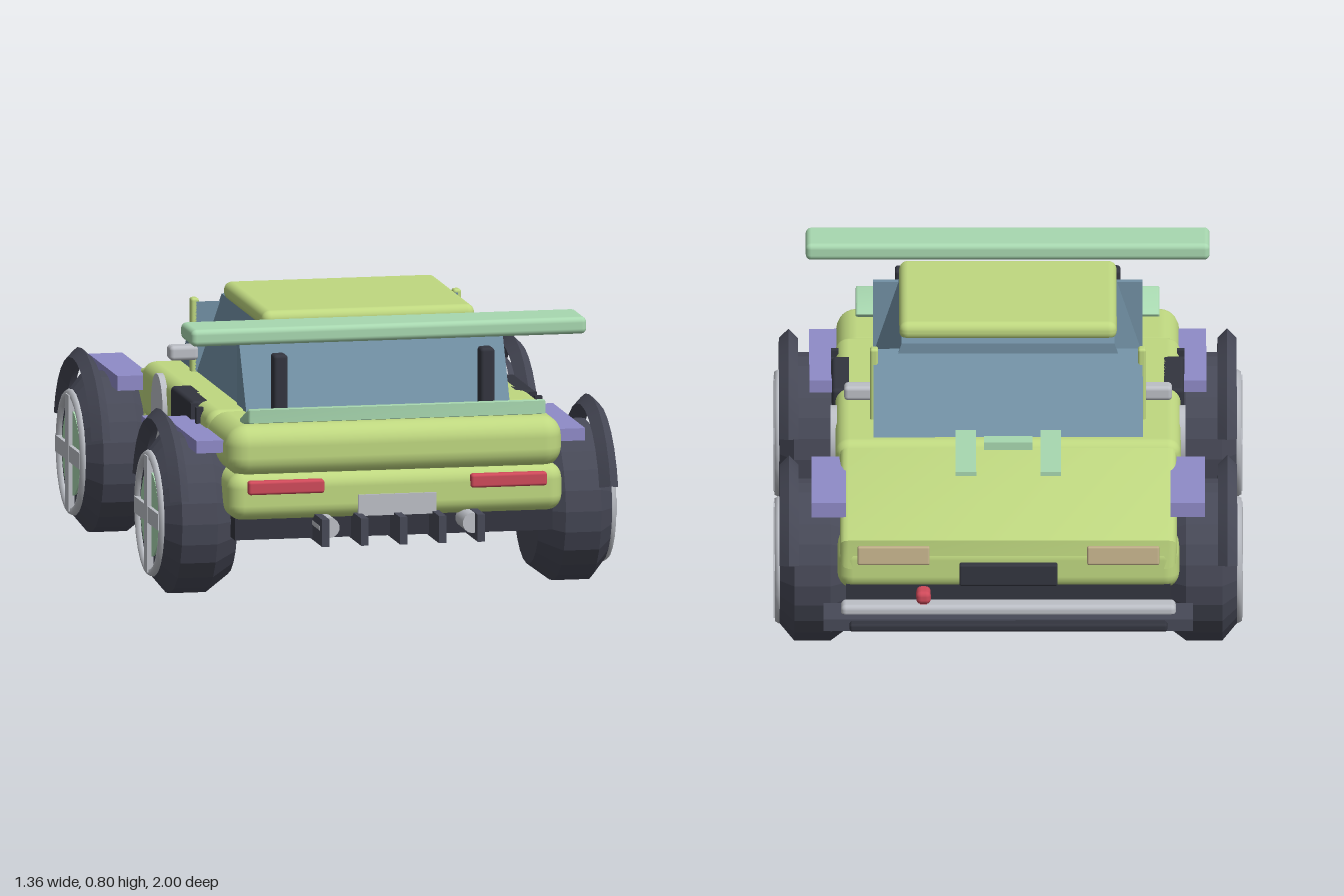
import * as THREE from 'three';
import { toCreasedNormals } from 'three/addons/utils/BufferGeometryUtils.js';
import { RoundedBoxGeometry } from 'three/addons/geometries/RoundedBoxGeometry.js';

const paint = (name, color) => {
  const m = new THREE.MeshStandardMaterial({ color });
  m.name = name;
  return m;
};

export function createModel() {
  const car = new THREE.Group();
  car.name = 'car';
  const lime = paint('lime body', 0xbfd880);
  const mint = paint('mint trim', 0xa8d8b0);
  const glass = paint('blue glass', 0x7190a4);
  const violet = paint('violet trim', 0x8f8bc8);
  const dark = paint('dark rubber', 0x474957);
  const black = paint('black plastic', 0x33353f);
  const grey = paint('light metal', 0xbcbfc6);
  const red = paint('red', 0xcf4a5a);
  const beige = paint('headlight beige', 0xbfae88);

  const add = (name, geo, mat, parent = car) => {
    const mesh = new THREE.Mesh(geo, mat);
    mesh.name = name;
    parent.add(mesh);
    return mesh;
  };
  // Box given by its limits; r > 0 rounds the edges
  const box = (name, mat, [x0, x1], [y0, y1], [z0, z1], r = 0, parent = car) => {
    const s = [x1 - x0, y1 - y0, z1 - z0];
    const geo = r ? new RoundedBoxGeometry(...s, 3, r) : new THREE.BoxGeometry(...s);
    const mesh = add(name, geo, mat, parent);
    mesh.position.set((x0 + x1) / 2, (y0 + y1) / 2, (z0 + z1) / 2);
    return mesh;
  };
  // The same box on both sides of the car
  const pair = (name, mat, [x0, x1], y, z, r = 0) => [
    box(name + 'Left', mat, [x0, x1], y, z, r),
    box(name + 'Right', mat, [-x1, -x0], y, z, r),
  ];
  // Side profile of [z, y] points, extruded across the car
  const prism = (name, mat, points, halfWidth, bevel = 0) => {
    const shape = new THREE.Shape(points.map(([z, y]) => new THREE.Vector2(-z, y)));
    let geo = new THREE.ExtrudeGeometry(shape, {
      depth: 2 * (halfWidth - bevel), bevelEnabled: bevel > 0, bevelSize: bevel,
      bevelThickness: bevel, bevelOffset: -bevel, bevelSegments: 3,
    });
    geo.translate(0, 0, -(halfWidth - bevel)).rotateY(Math.PI / 2);
    if (bevel) geo = toCreasedNormals(geo, 0.6);
    return add(name, geo, mat);
  };

  // Underside and body shell
  box('chassis', black, [-0.47, 0.47], [0.19, 0.27], [-0.83, 0.86]);
  box('lowerBody', lime, [-0.495, 0.495], [0.25, 0.39], [-0.835, 0.905], 0.045);
  box('middleBody', lime, [-0.5, 0.5], [0.36, 0.53], [-0.33, 0.62], 0.04);
  box('rearDeck', lime, [-0.497, 0.497], [0.375, 0.527], [0.55, 0.905], 0.06);
  prism('hood', lime, [[-0.31, 0.32], [-0.31, 0.515], [-0.83, 0.405], [-0.835, 0.32]], 0.488, 0.025);
  box('cowlScoop', mint, [-0.07, 0.07], [0.51, 0.533], [-0.335, -0.28]);

  // Cabin with sides leaning inward
  const cabin = new THREE.BoxGeometry(0.77, 0.23, 0.62);
  const p = cabin.attributes.position;
  for (let i = 0; i < p.count; i++) if (p.getY(i) > 0) p.setX(i, p.getX(i) * 0.8);
  cabin.computeVertexNormals();
  add('cabinGlass', cabin, glass).position.set(0, 0.64, 0.21);
  prism('windshield', glass, [[-0.09, 0.525], [-0.09, 0.735], [-0.285, 0.525]], 0.39);
  prism('rearWindow', glass, [[0.64, 0.525], [0.53, 0.73], [0.51, 0.73], [0.51, 0.525]], 0.39);
  box('roof', lime, [-0.315, 0.315], [0.745, 0.8], [-0.057, 0.515], 0.025);
  pair('windshieldPillar', lime, [0.376, 0.4], [0.52, 0.745], [-0.125, -0.09], 0.008);
  pair('mirror', grey, [0.39, 0.475], [0.572, 0.615], [-0.085, -0.03], 0.012);

  // Hood stripes and tail wings
  pair('hoodStripe', mint, [0.093, 0.153], [0.575, 0.587], [-0.75, -0.378]);
  box('mainWing', mint, [-0.585, 0.585], [0.75, 0.8], [0.635, 0.8], 0.016);
  pair('wingStrut', black, [0.285, 0.327], [0.52, 0.707], [0.675, 0.73], 0.01);
  prism('ducktail', mint, [[0.91, 0.54], [0.91, 0.578], [0.895, 0.58], [0.78, 0.535], [0.79, 0.518]], 0.44, 0.006);

  // Side trim
  pair('sideIntake', black, [0.44, 0.51], [0.39, 0.53], [0.14, 0.435], 0.012);
  pair('sill', violet, [0.44, 0.507], [0.215, 0.265], [-0.3, 0.38]);
  pair('sideRail', violet, [0.48, 0.51], [0.358, 0.376], [-0.27, 0.32]);
  for (const z of [0.25, 0.08, -0.12])
    pair('railPost', black, [0.48, 0.506], [0.265, 0.36], [z - 0.009, z + 0.009]);
  for (const z of [0.43, 0.505])
    pair('fenderBolt', black, [0.49, 0.512], [0.47, 0.525], [z - 0.01, z + 0.01]);
  for (const s of [-1, 1]) {
    const disc = new THREE.CylinderGeometry(0.1, 0.1, 0.018, 24).rotateZ(Math.PI / 2).scale(1, 1, 0.83);
    add('doorRoundel', disc, grey).position.set(s * 0.505, 0.438, -0.033);
  }

  // Rear lights, plate, diffuser and exhausts
  pair('tailLight', red, [0.217, 0.442], [0.33, 0.37], [0.88, 0.922], 0.008);
  box('rearPlate', grey, [-0.115, 0.115], [0.258, 0.32], [0.89, 0.913]);
  for (let i = -2; i <= 2; i++)
    box('diffuserFin', dark, [i * 0.115 - 0.011, i * 0.115 + 0.011], [0.185, 0.265], [0.82, 1]);
  for (const s of [-1, 1]) {
    const pipe = new THREE.CylinderGeometry(0.03, 0.03, 0.16, 14).rotateX(Math.PI / 2);
    add('exhaust', pipe, grey).position.set(s * 0.212, 0.235, 0.885);
  }

  // Nose: lights, plate, splitter, bumper tube and tow hook
  for (const l of pair('headlight', beige, [0.228, 0.437], [0.335, 0.39], [-0.85, -0.825], 0.006)) l.rotation.x = 0.15;
  box('frontPlate', black, [-0.142, 0.142], [0.275, 0.34], [-0.86, -0.83], 0.006);
  box('splitter', dark, [-0.535, 0.535], [0.175, 0.21], [-0.965, -0.82]);
  box('splitterLip', black, [-0.46, 0.46], [0.183, 0.207], [-1, -0.96], 0.008);
  box('bumperBar', grey, [-0.485, 0.485], [0.2, 0.236], [-0.92, -0.85], 0.015);
  box('towHook', red, [0.225, 0.267], [0.243, 0.282], [-0.935, -0.865], 0.015);
  box('towHookStem', red, [0.236, 0.256], [0.22, 0.26], [-0.905, -0.88]);

  // Wheels, arches and fender pads
  const tyreProfile = [[0, 0.447], [0.185, 0.447], [0.235, 0.515], [0.235, 0.62], [0.185, 0.662], [0, 0.662]]
    .map(([r, x]) => new THREE.Vector2(r, x));
  for (const s of [-1, 1]) {
    for (const [end, z] of [['rear', 0.6], ['front', -0.51]]) {
      const wheel = new THREE.Group();
      wheel.name = end + 'Wheel' + (s > 0 ? 'Left' : 'Right');
      wheel.position.set(0, 0.235, z);
      wheel.rotation.y = s > 0 ? 0 : Math.PI;
      car.add(wheel);
      const tyre = toCreasedNormals(new THREE.LatheGeometry(tyreProfile, 24).rotateZ(-Math.PI / 2), 0.1);
      add('tyre', tyre, dark, wheel);
      const rim = new THREE.TorusGeometry(0.172, 0.013, 6, 24).rotateY(Math.PI / 2);
      add('rim', rim, grey, wheel).position.x = 0.665;
      const hub = new THREE.CylinderGeometry(0.128, 0.128, 0.02, 16).rotateZ(Math.PI / 2);
      add('hubDisc', hub, mint, wheel).position.x = 0.658;
      box('spokeUpright', grey, [0.65, 0.68], [-0.17, 0.17], [-0.024, 0.024], 0, wheel);
      box('spokeLevel', grey, [0.65, 0.679], [-0.024, 0.024], [-0.17, 0.17], 0, wheel);

      const start = 0.27;
      const arch = new THREE.TorusGeometry(0.276, 0.028, 4, 12, Math.PI - 2 * start)
        .rotateZ(start).rotateY(Math.PI / 2);
      add(end + 'WheelArch', toCreasedNormals(arch, 0.5), dark).position.set(s * 0.635, 0.235, z);
    }
  }
  pair('rearFenderPad', violet, [0.47, 0.575], [0.442, 0.478], [0.365, 0.82]);
  pair('frontFenderPad', violet, [0.47, 0.57], [0.442, 0.485], [-0.73, -0.32]);

  return car;
}
